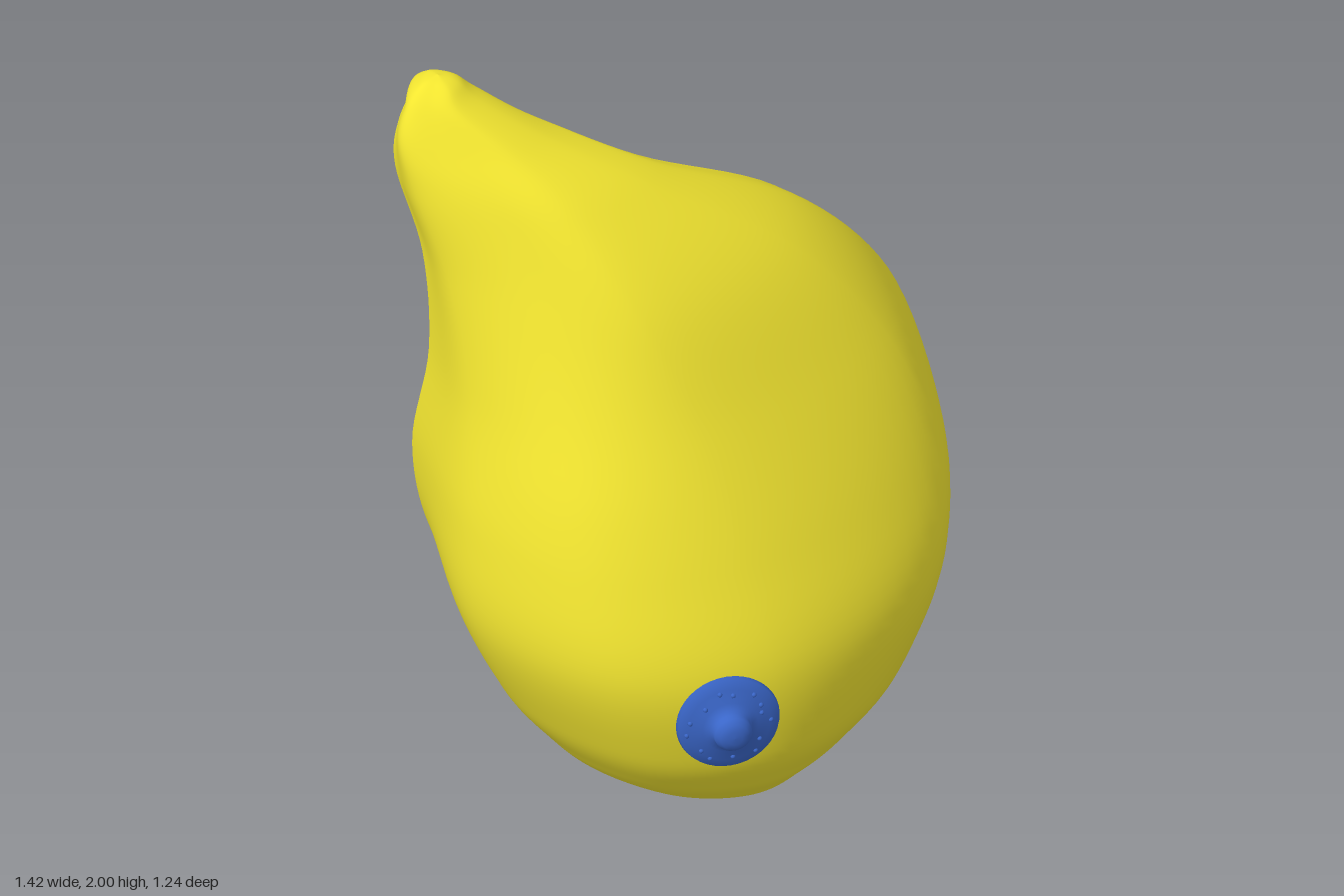
import * as THREE from 'three';

const yellow = new THREE.MeshStandardMaterial({ color: 0xf2e530 });
const blue = new THREE.MeshStandardMaterial({ color: 0x3a66c8 });
const cream = new THREE.MeshStandardMaterial({ color: 0xe8dcc8 });

// Horizontal sections, bottom to top:
// y, side -x (x,z), front (x,z), side +x (x,z), back rim -x (x,z), back rim +x (x,z)
// Where the back is closed, both rims share one point.
const sections = [
  [0.015, -0.19, 0.02, -0.08, 0.2, 0.03, 0.02, -0.1, -0.13],
  [0.08, -0.34, 0, -0.08, 0.34, 0.17, -0.02, -0.12, -0.28],
  [0.15, -0.45, -0.02, -0.1, 0.42, 0.27, -0.04, -0.15, -0.36],
  [0.22, -0.52, -0.03, -0.12, 0.48, 0.36, -0.05, -0.32, -0.41, 0.12, -0.34],
  [0.35, -0.61, -0.05, -0.12, 0.54, 0.48, -0.06, -0.43, -0.46, 0.4, -0.32],
  [0.6, -0.705, -0.07, -0.14, 0.545, 0.64, -0.1, -0.56, -0.515, 0.61, -0.27],
  [0.87, -0.695, -0.1, -0.16, 0.43, 0.71, -0.15, -0.6, -0.54, 0.7, -0.22],
  [1.2, -0.635, -0.2, -0.2, 0.25, 0.62, -0.14, -0.59, -0.475, 0.61, -0.22],
  [1.5, -0.625, -0.32, -0.28, 0.08, 0.36, -0.16, -0.6, -0.49, 0.34, -0.25],
  [1.72, -0.655, -0.43, -0.36, -0.12, -0.04, -0.23, -0.62, -0.59, -0.06, -0.29],
  [1.85, -0.66, -0.5, -0.44, -0.3, -0.29, -0.41, -0.6, -0.605, -0.31, -0.46],
  [1.94, -0.62, -0.53, -0.52, -0.43, -0.42, -0.52, -0.53, -0.62],
  [1.985, -0.57, -0.54, -0.52, -0.49, -0.47, -0.54, -0.52, -0.59],
];
const SEGMENTS = sections.length + 1;
const OPEN_FROM = 3 / SEGMENTS, OPEN_TO = 12 / SEGMENTS;

// A smooth rail running up the body through one pair of columns
function rail(col) {
  const pts = sections.map((s) => {
    const c = col < s.length ? col : 7;
    return new THREE.Vector3(s[c], s[0], s[c + 1]);
  });
  pts.unshift(new THREE.Vector3(-0.1, 0, 0.02));
  pts.push(new THREE.Vector3(-0.52, 2, -0.54));
  return new THREE.CatmullRomCurve3(pts, false, 'catmullrom', 0.5);
}

// Surface from rows of points; rowAt(v) returns a function of u
function loft(rowAt, rows, cols) {
  const pos = [], index = [];
  for (let i = 0; i <= rows; i++) {
    const row = rowAt(i / rows);
    for (let j = 0; j <= cols; j++) {
      const p = row(j / cols);
      pos.push(p.x, p.y, p.z);
      if (i < rows && j < cols) {
        const a = i * (cols + 1) + j, c = a + cols + 1;
        index.push(a, a + 1, c, a + 1, c + 1, c);
      }
    }
  }
  const g = new THREE.BufferGeometry();
  g.setAttribute('position', new THREE.Float32BufferAttribute(pos, 3));
  g.setIndex(index);
  g.computeVertexNormals();
  return g;
}

function mesh(name, geometry, material, parent) {
  const m = new THREE.Mesh(geometry, material);
  m.name = name;
  parent.add(m);
  return m;
}

export function createModel() {
  const model = new THREE.Group();
  model.name = 'breastModel';
  const sideA = rail(1), front = rail(3), sideB = rail(5), rimA = rail(7), rimB = rail(9);

  // Outer skin: an open curve from rim to rim, or a closed ring above and below the hollow
  const shoulder = (side, mid, kx, kz) => new THREE.Vector3(
    mid.x + (side.x - mid.x) * kx, mid.y, side.z + (mid.z - side.z) * kz);
  const skin = loft((v) => {
    const l = sideA.getPoint(v), f = front.getPoint(v), r = sideB.getPoint(v);
    const a = rimA.getPoint(v), b = rimB.getPoint(v);
    const k = 0.72 - 0.15 * THREE.MathUtils.smoothstep(f.y, 1, 1.7);
    const ring = [l, shoulder(l, f, k, k), f, shoulder(r, f, 0.79, 0.69), r];
    const closed = v < OPEN_FROM + 1e-6 || v > OPEN_TO - 1e-6;
    const curve = closed
      ? new THREE.CatmullRomCurve3([a.lerp(b, 0.5), ...ring], true)
      : new THREE.CatmullRomCurve3([a, ...ring, b]);
    return (u) => curve.getPoint(u);
  }, SEGMENTS * 8, 72);
  mesh('skin', skin, yellow, model);

  // Hollow back: a bowl, steeper towards -x, with shallow ridges fanning from the upper side
  const hollow = loft((t) => {
    const v = THREE.MathUtils.lerp(OPEN_FROM, OPEN_TO, t);
    const a = rimA.getPoint(v), b = rimB.getPoint(v);
    const rise = Math.sin(Math.PI * THREE.MathUtils.clamp((a.y - 0.15) / 1.79, 0, 1));
    return (u) => {
      const p = b.clone().lerp(a, u);
      const bow = Math.sin(Math.PI * Math.pow(u, 1.35)) * rise;
      const fan = Math.atan2(p.y - 1.75, p.x + 0.95);
      p.z += bow * (0.27 + 0.008 * Math.sin(fan * 30 + Math.sin(p.x * 7)));
      return p;
    };
  }, 72, 48);
  mesh('hollowBack', hollow, yellow, model);

  // Areola and nipple, facing outward along local +y
  const cap = new THREE.Group();
  cap.name = 'areola';
  cap.position.set(-0.313, 0.497, 0.54);
  cap.quaternion.setFromUnitVectors(
    new THREE.Vector3(0, 1, 0), new THREE.Vector3(-0.34, 0, 0.94).normalize());
  model.add(cap);
  const profile = [[0, -0.005], [0.09, -0.008], [0.13, -0.016], [0.139, -0.008], [0.135, 0.003],
    [0.11, 0.012], [0.075, 0.024], [0.058, 0.032], [0.052, 0.045], [0.05, 0.06],
    [0.038, 0.073], [0.02, 0.079], [0, 0.08]].map(([x, y]) => new THREE.Vector2(x, y));
  mesh('areolaDisc', new THREE.LatheGeometry(profile, 40), blue, cap);

  // Small glands scattered on the areola
  const bump = new THREE.SphereGeometry(0.007, 8, 6);
  for (let i = 0; i < 14; i++) {
    const angle = i * 2.4, r = 0.09 + 0.03 * ((i * 5) % 7) / 7;
    mesh('gland', bump, blue, cap)
      .position.set(r * Math.cos(angle), 0.019 - (r - 0.09) * 0.4, r * Math.sin(angle));
  }

  // Milk ducts running from the areola into the body
  const duct = new THREE.CylinderGeometry(0.008, 0.011, 0.1, 8);
  for (let i = 0; i < 18; i++) {
    const angle = i / 18 * Math.PI * 2, r = i % 2 ? 0.095 : 0.07;
    mesh('duct', duct, cream, cap).position.set(r * Math.cos(angle), -0.056, r * Math.sin(angle));
  }
  return model;
}
